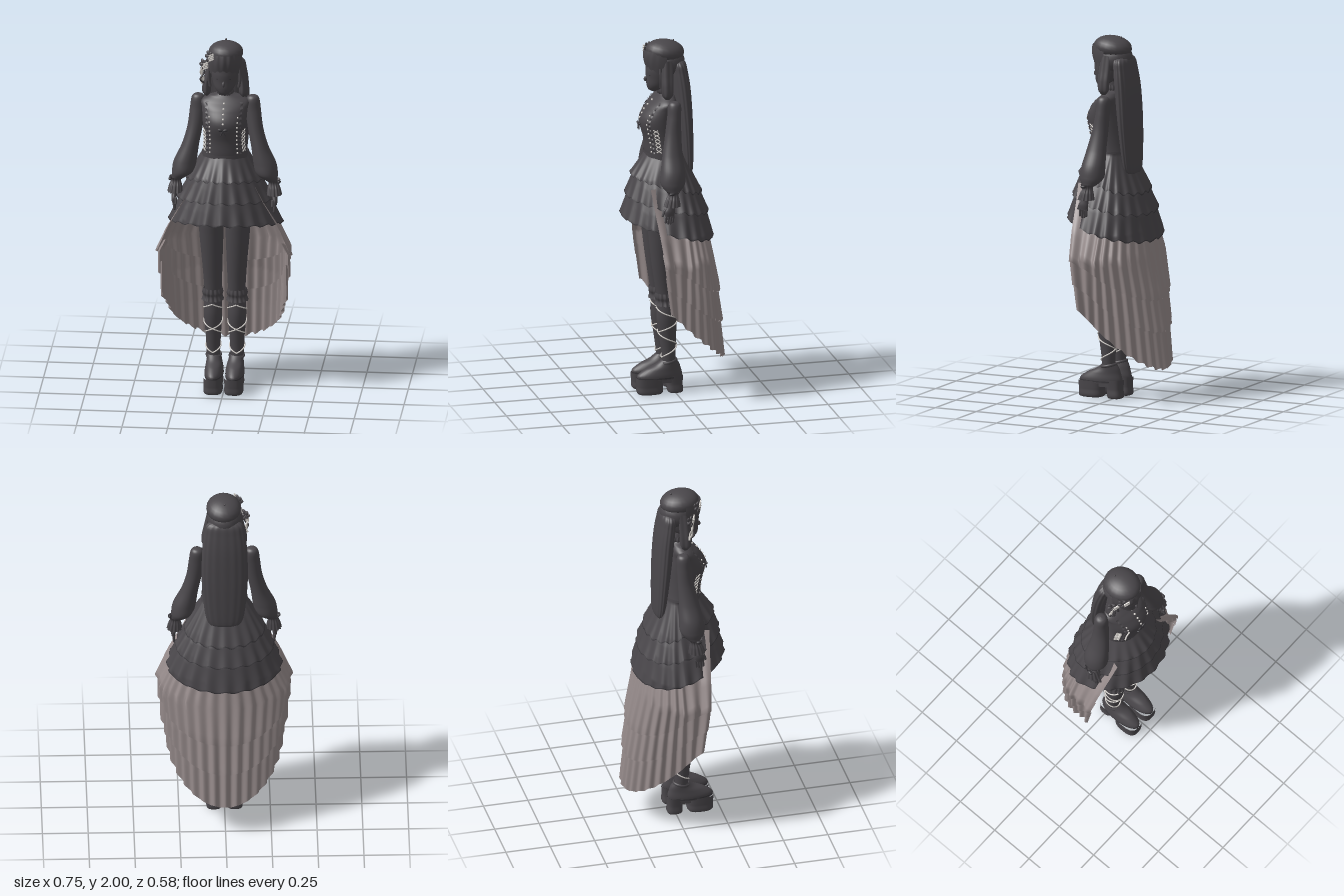
import * as THREE from 'three';
import { ParametricGeometry } from 'three/addons/geometries/ParametricGeometry.js';

const mat = (name, color, side = THREE.FrontSide) => {
  const m = new THREE.MeshStandardMaterial({ color, side });
  m.name = name;
  return m;
};
const { lerp, clamp } = THREE.MathUtils;

// Piecewise linear lookup in [[y, value...], ...] with y ascending
function lookup(table, y, k = 1) {
  let i = 0;
  while (i < table.length - 2 && y > table[i + 1][0]) i++;
  const a = table[i], b = table[i + 1];
  return lerp(a[k], b[k], clamp((y - a[0]) / (b[0] - a[0]), 0, 1));
}
// Smooth interpolation through rings [y, x, z, rx, rz]
function smoothRing(rings, t) {
  const s = clamp(t, 0, 1) * (rings.length - 1), n = rings.length - 1;
  const i = Math.min(Math.floor(s), n - 1), f = s - i;
  return rings[i].map((b, k) => {
    const c = rings[i + 1][k], a = rings[Math.max(i - 1, 0)][k], d = rings[Math.min(i + 2, n)][k];
    return b + 0.5 * f * (c - a + f * (2 * a - 5 * b + 4 * c - d + f * (3 * (b - c) + d - a)));
  });
}

export function createModel() {
  const model = new THREE.Group();
  model.name = 'figure';
  const dark = mat('charcoal', 0x4a474b);
  const cloth = mat('charcoalCloth', 0x4a474b, THREE.DoubleSide);
  const train = mat('mauveGreyCloth', 0x958a8a, THREE.DoubleSide);
  const silver = mat('silver', 0xd2cec9);
  const trim = mat('blackTrim', 0x38363a, THREE.DoubleSide);

  const add = (name, geo, material, pos = [0, 0, 0], rot = [0, 0, 0], scale = [1, 1, 1]) => {
    const m = new THREE.Mesh(geo, material);
    m.name = name;
    m.position.set(...pos); m.rotation.set(...rot); m.scale.set(...scale);
    model.add(m);
    return m;
  };
  const sheet = (name, material, fn, nu, nv) => add(name, new ParametricGeometry(fn, nu, nv), material);
  // Closed body through rings; power < 1 squares it, flutes ripple it
  const loft = (name, material, rings, { slices = 32, power = 1, flutes = 0, amp = 0 } = {}) => {
    const sq = c => Math.sign(c) * Math.abs(c) ** power;
    return sheet(name, material, (u, v, p) => {
      const [y, x, z, rx, rz] = smoothRing(rings, v), a = u * Math.PI * 2;
      const w = 1 + amp * Math.cos(a * flutes);
      p.set(x + rx * w * sq(Math.sin(a)), y, z + rz * w * sq(Math.cos(a)));
    }, slices, (rings.length - 1) * 5);
  };
  const tube = (name, material, pts, r, seg = 24) =>
    add(name, new THREE.TubeGeometry(new THREE.CatmullRomCurve3(pts), seg, r, 10), material);
  const onSurface = (rings, a, y, off) => new THREE.Vector3(
    lookup(rings, y, 1) + (lookup(rings, y, 3) + off) * Math.sin(a), y,
    lookup(rings, y, 2) + (lookup(rings, y, 4) + off) * Math.cos(a));
  const ball = new THREE.SphereGeometry(1, 20, 14);

  // Bodice and neck
  const torso = [[1.28, 0, .02, .14, .1], [1.36, 0, .048, .122, .102], [1.45, 0, .06, .115, .1], [1.55, 0, .075, .12, .108],
    [1.62, 0, .063, .125, .085], [1.66, 0, .045, .13, .062], [1.685, 0, .036, .09, .045], [1.705, 0, .035, .036, .036], [1.75, 0, .045, .032, .034]];
  loft('bodice', dark, torso, { slices: 40 });
  loft('collarRuffle', cloth, [[1.695, 0, .038, .04, .04], [1.71, 0, .038, .045, .046], [1.73, 0, .04, .042, .044]], { slices: 80, flutes: 16, amp: .06 });
  loft('waistband', cloth, [[1.35, 0, .048, .126, .106], [1.372, 0, .05, .125, .105]]);
  for (let i = 0; i < 5; i++)
    add('button', ball, silver, onSurface(torso, 0, 1.565 + i * .024, .005).toArray(), [0, 0, 0], [.006, .006, .006]);
  for (const s of [-1, 1]) {
    add('chestBow', ball, trim, [s * .014, 1.532, .188], [0, 0, s * .2], [.014, .008, .006]);
    tube('chestBowTail', trim, [new THREE.Vector3(0, 1.53, .188), new THREE.Vector3(s * .012, 1.5, .188)], .004, 4);
    // Ruffled strap, a thin band lying on the bodice
    sheet('bodiceStrap', cloth, (u, v, p) => {
      const y = lerp(1.375, 1.665, v);
      p.copy(onSurface(torso, s * (.72 + .14 * u), y, .006 + .004 * u * Math.cos(v * 70)));
    }, 4, 90);
    for (const k of [-1, 1]) {
      const pts = [];
      for (let i = 0; i <= 6; i++) pts.push(onSurface(torso, s * (1.1 + k * (i % 2 ? .13 : -.13)), 1.385 + i * .022, .004));
      tube('corsetLace', silver, pts, .003, 50);
    }
    for (let i = 0; i < 9; i++)
      add('strapStud', ball, silver, onSurface(torso, s * .66, 1.385 + i * .026, .004).toArray(), [0, 0, 0], [.005, .005, .005]);
  }

  // Head and face
  loft('head', dark, [[1.708, 0, .1, .004, .006], [1.722, 0, .098, .028, .034], [1.75, 0, .08, .054, .062], [1.79, 0, .067, .067, .077],
    [1.84, 0, .06, .075, .087], [1.9, 0, .05, .074, .085], [1.95, 0, .045, .03, .035]]);
  add('nose', ball, dark, [0, 1.785, .146], [-.3, 0, 0], [.008, .016, .012]);
  add('lips', ball, trim, [0, 1.756, .138], [0, 0, 0], [.013, .004, .004]);
  for (const s of [-1, 1]) add('eye', ball, trim, [s * .029, 1.812, .134], [0, s * .4, 0], [.014, .007, .004]);

  // Hair: cap, fringe, side locks and long back fall
  add('hairCap', ball, dark, [0, 1.878, .03], [0, 0, 0], [.094, .085, .1]);
  sheet('fringe', cloth, (u, v, p) => {
    const a = lerp(-1.5, 1.5, u), y = lerp(1.858 + .005 * Math.cos(a * 16) - .025 * a * a, 1.95, v);
    const r = .96 + .1 * Math.sin(v * 2.6);
    p.set(.09 * r * Math.sin(a), y, .045 + (.108 + .002 * Math.cos(a * 16)) * r * Math.cos(a));
  }, 60, 10);
  for (const s of [-1, 1]) {
    loft('sideLock', dark, [[1.685, s * .1, .05, .006, .01], [1.71, s * .101, .05, .022, .028], [1.76, s * .1, .05, .021, .032],
      [1.82, s * .091, .048, .018, .032], [1.9, s * .078, .045, .016, .03]], { flutes: 5, amp: .1 });
    tube('faceLock', dark, [new THREE.Vector3(s * .083, 1.86, .085), new THREE.Vector3(s * .086, 1.8, .085), new THREE.Vector3(s * .078, 1.75, .082)], .008);
  }
  loft('longHair', dark, [[1.235, 0, -.088, .0005, .0005], [1.242, 0, -.086, .05, .014], [1.285, 0, -.08, .098, .029], [1.5, 0, -.066, .123, .042],
    [1.7, 0, -.05, .122, .048], [1.82, 0, -.035, .11, .046], [1.88, 0, -.025, .09, .04], [1.9, 0, -.02, .0005, .0005]],
  { slices: 96, power: .92, flutes: 16, amp: .014 });

  // Beret with hair ornaments on its right
  add('beret', ball, dark, [.004, 1.938, .04], [-.12, 0, 0], [.095, .061, .107]);
  add('beretStem', ball, dark, [0, 1.99, -.008], [0, 0, 0], [.005, .008, .005]);
  for (const [x, y, z] of [[-.08, 1.935, .115], [-.115, 1.87, .07]]) {
    for (let i = 0; i < 6; i++)
      add('flowerPetal', ball, dark, [x + .014 * Math.cos(i * 1.047), y + .019 * Math.sin(i * 1.047), z + .01 * Math.sin(i * 2)], [0, -.8, i * 1.047], [.015, .011, .007]);
    for (let i = 0; i < 4; i++)
      add('ornamentRib', new THREE.BoxGeometry(.036, .007, .006), silver, [x + .012, y + .016 - i * .01, z + .024], [0, -.5, .5]);
  }
  for (let i = 0; i < 3; i++)
    tube('ornamentRibbon', i < 2 ? silver : dark, [[-.115, 1.87, .085], [-.132 + .01 * i, 1.83, .08], [-.115 - .008 * i, 1.79, .07 + .01 * i], [-.128 + .01 * i, 1.76, .065]].map(q => new THREE.Vector3(...q)), .005);

  // Sleeves, cuffs and hands
  for (const s of [-1, 1]) {
    const side = rings => rings.map(([y, x, ...r]) => [y, s * x, ...r]);
    loft('sleeve', dark, side([[1.2, .262, .06, .025, .025], [1.215, .252, .058, .036, .045], [1.25, .23, .055, .06, .069], [1.31, .217, .052, .062, .066],
      [1.4, .19, .046, .047, .055], [1.5, .166, .036, .042, .045], [1.6, .153, .027, .042, .038], [1.66, .15, .024, .037, .036], [1.682, .15, .024, .024, .024], [1.688, .15, .024, .0005, .0005]]));
    loft('cuffRuffle', cloth, side([[1.13, .272, .07, .04, .045], [1.165, .27, .066, .034, .036], [1.195, .268, .062, .026, .027], [1.215, .268, .062, .036, .038]]), { slices: 72, flutes: 12, amp: .07 });
    add('cuffBow', ball, trim, [s * .298, 1.205, .075], [0, 0, 0], [.01, .009, .016]);
    loft('palm', dark, side([[1.075, .277, .085, .011, .026], [1.1, .277, .083, .014, .028], [1.13, .274, .076, .014, .021], [1.18, .27, .067, .015, .017]]));
    for (let i = 0; i < 4; i++)
      add('finger', new THREE.CapsuleGeometry(.0065, .04, 3, 8), dark, [s * .275, 1.056 + (i % 3 ? -.003 : .004), .065 + i * .013], [-.1, 0, -s * .1]);
    add('thumb', new THREE.CapsuleGeometry(.007, .03, 3, 8), dark, [s * .265, 1.09, .115], [-.35, 0, 0]);
  }

  // Pleated skirt in three tiers, longer at the back
  const skirtFront = [[1, .277], [1.12, .255], [1.24, .225], [1.36, .15]];
  const skirtSide = [[.94, .31], [1.07, .268], [1.19, .215], [1.36, .122]];
  const skirtBack = [[.885, .215], [1.03, .19], [1.14, .155], [1.36, .05]];
  const skirtHem = (k, c) => lerp([1.14, 1.03, .885][k], [1.24, 1.125, 1.005][k], (1 + c) / 2);
  for (let k = 0; k < 3; k++) {
    const tier = (v0, v1, off) => (u, v, p) => {
      const a = u * Math.PI * 2, c = Math.cos(a), t = lerp(v0, v1, v), wave = Math.cos(a * 20);
      const top = k ? skirtHem(k - 1, c) + .05 : 1.365, hem = skirtHem(k, c) + .008 * wave;
      const y = lerp(hem, top, t), r = (k ? lerp(1.01, .94, t) : lerp(1.02, 1.01, t)) * (1 + .026 * wave * (1 - t)) + off;
      p.set(lookup(skirtSide, y) * r * Math.sin(a), y, lookup(c > 0 ? skirtFront : skirtBack, y) * r * c);
    };
    sheet('skirtTier', cloth, tier(0, 1, 0), 200, 12);
    sheet('skirtHemTrim', trim, tier(0, .03, .006), 200, 1);
  }

  // Open-fronted pleated train in three tiers
  const trainSide = [[.17, .28], [.4, .305], [.6, .33], [.8, .35], [.95, .285], [1.1, .195], [1.2, .145]];
  const trainBack = [[.17, .28], [.4, .267], [.6, .248], [.9, .19], [1.2, .11]];
  const trainFront = [[.5, .09], [.76, .125], [1.2, .165]];
  const edge = 1.95, cEdge = -Math.cos(edge);
  const trainHem = (k, c) => lerp([.56, .38, .175][k], [.8, .67, .53][k], (1 - c) / (1 + cEdge));
  for (let k = 0; k < 3; k++) {
    sheet('trainTier', train, (u, v, p) => {
      const a = lerp(edge, -edge, u), c = Math.cos(a), wave = Math.cos(a * 30);
      const top = k ? trainHem(k - 1, c) + .07 : 1.2, y = lerp(trainHem(k, c) + .007 * wave, top, v);
      const r = lerp(1.01, k ? .95 : 1, v) * (1 + .03 * wave * (k ? 1 : 1 - v * .7));
      const z = c > 0 ? -lookup(trainBack, y) * c * r : lookup(trainFront, y) * -c / cEdge;
      p.set((lookup(trainSide, y) + .045 * (Math.max(0, -c) / cEdge) ** 2) * r * Math.sin(a), y, z);
    }, 220, 12);
  }

  // Legs, laced stockings and platform shoes
  for (const s of [-1, 1]) {
    const side = rings => rings.map(([y, x, ...r]) => [y, s * x, ...r]);
    const leg = side([[.12, .062, .035, .035, .035], [.2, .065, .035, .037, .037], [.3, .065, .04, .042, .045], [.42, .066, .047, .05, .055], [.52, .066, .05, .047, .05],
      [.6, .065, .06, .049, .05], [.75, .068, .075, .057, .057], [.9, .072, .08, .066, .069], [1, .074, .08, .069, .076], [1.15, .072, .07, .069, .078]]);
    loft('leg', dark, leg);
    loft('stockingRuffle', cloth, side([[.505, .067, .05, .06, .062], [.53, .067, .051, .052, .055], [.55, .067, .053, .056, .058], [.575, .067, .055, .05, .053]]), { slices: 72, flutes: 14, amp: .05 });
    for (const d of [-1, 1]) {
      const pts = [];
      for (let i = 0; i <= 48; i++) pts.push(onSurface(leg, d * i / 48 * Math.PI * 4, lerp(.2, .49, i / 48), .003));
      tube('stockingLace', silver, pts, .0036, 120);
    }
    const block = { power: .7 };
    loft('toePlatform', dark, side([[0, .057, .14, .0005, .0005], [.001, .057, .14, .048, .066], [.045, .057, .14, .051, .072], [.09, .057, .14, .052, .075]]), block);
    loft('heelBlock', dark, side([[0, .057, -.003, .0005, .0005], [.001, .057, -.003, .04, .04], [.05, .057, -.001, .041, .042], [.1, .057, .004, .045, .05]]), block);
    add('archSole', new THREE.BoxGeometry(.08, .035, .1), dark, [s * .057, .078, .05]);
    loft('shoe', dark, side([[.08, .057, .085, .05, .126], [.105, .057, .083, .051, .125], [.135, .058, .066, .046, .1], [.16, .06, .042, .041, .068], [.185, .063, .032, .038, .043]]));
    loft('soleWelt', trim, side([[.086, .057, .085, .052, .129], [.093, .057, .085, .052, .129]]));
    add('ankleStrap', new THREE.TorusGeometry(.04, .005, 8, 28), dark, [s * .063, .178, .035], [Math.PI / 2 + .2, 0, 0], [1, 1.1, 1.6]);
    add('shoeBow', ball, dark, [s * .058, .147, .115], [.5, 0, 0], [.022, .007, .009]);
  }
  return model;
}
